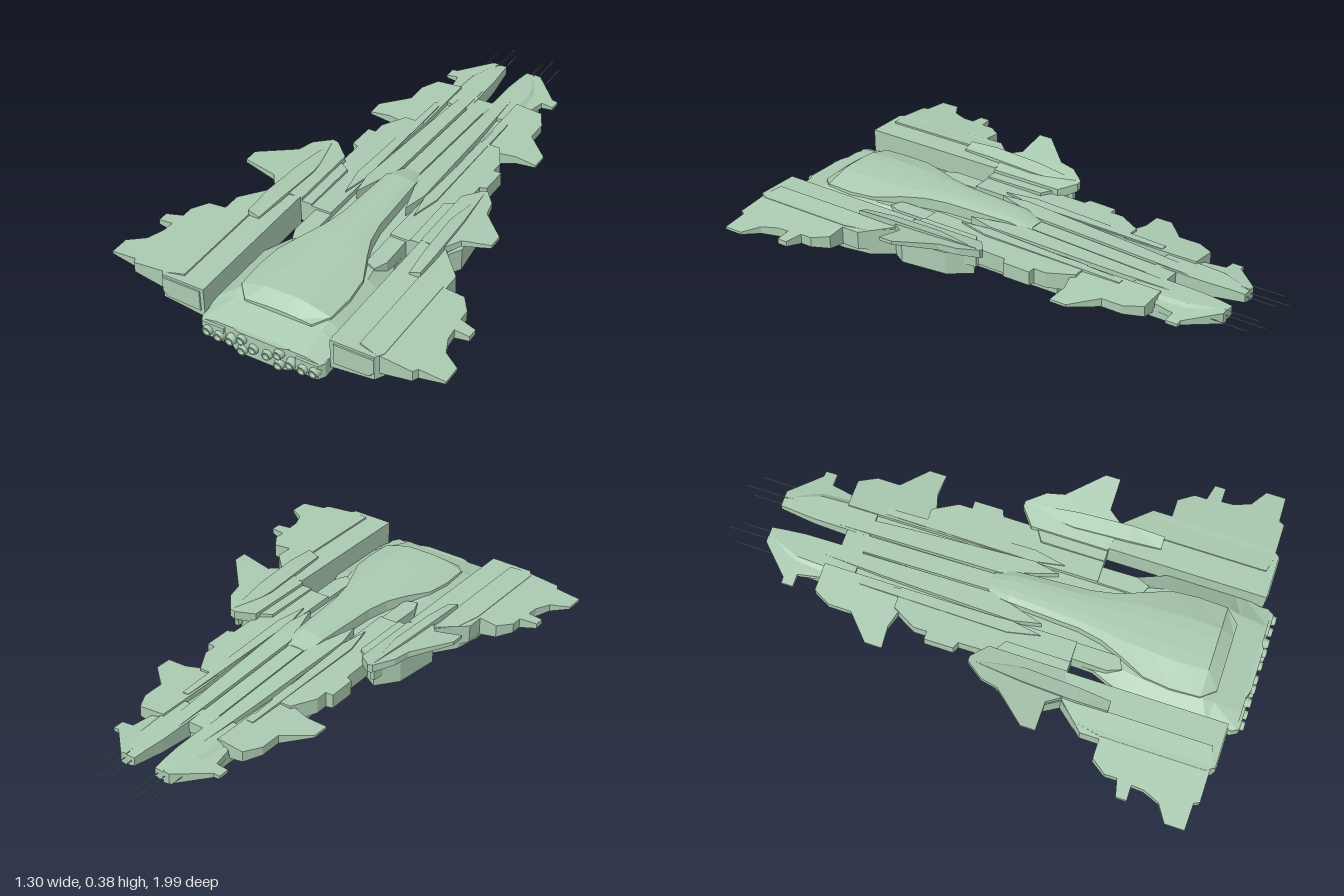
import * as THREE from 'three';

const hull = new THREE.MeshStandardMaterial({ color: 0xaacab1, flatShading: true });
hull.name = 'pale green hull';

// Reverse the corner order of a non-indexed geometry
function flip(geo) {
  const p = geo.attributes.position, a = new THREE.Vector3(), b = new THREE.Vector3();
  for (let i = 0; i < p.count; i += 3) {
    a.fromBufferAttribute(p, i); b.fromBufferAttribute(p, i + 1);
    p.setXYZ(i, b.x, b.y, b.z); p.setXYZ(i + 1, a.x, a.y, a.z);
  }
}

// Closed solid through rings of [x, y, z] points, wound outward
function loft(rings) {
  const n = rings[0].length, out = [];
  const tri = (a, b, c) => out.push(...a, ...b, ...c);
  for (let i = 0; i + 1 < rings.length; i++)
    for (let j = 0; j < n; j++) {
      const k = (j + 1) % n, r = rings[i], s = rings[i + 1];
      tri(r[j], s[j], s[k]); tri(r[j], s[k], r[k]);
    }
  const last = rings[rings.length - 1];
  for (let j = 1; j + 1 < n; j++) {
    tri(rings[0][0], rings[0][j], rings[0][j + 1]);
    tri(last[0], last[j + 1], last[j]);
  }
  const geo = new THREE.BufferGeometry();
  geo.setAttribute('position', new THREE.Float32BufferAttribute(out, 3));
  let vol = 0;
  const v = [0, 1, 2].map(() => new THREE.Vector3());
  for (let i = 0; i < out.length; i += 9) {
    v.forEach((q, k) => q.fromArray(out, i + k * 3));
    vol += v[0].dot(v[1].clone().cross(v[2]));
  }
  if (vol < 0) flip(geo);
  geo.computeVertexNormals();
  return geo;
}

// Plate from an [x, z] outline between two planes, each given as a number or a rule of x and z
function plate(pts, bottom, top) {
  const shape = new THREE.Shape(pts.map(([x, z]) => new THREE.Vector2(x, -z)));
  const geo = new THREE.ExtrudeGeometry(shape, { depth: 1, bevelEnabled: false }).rotateX(-Math.PI / 2);
  const p = geo.attributes.position;
  const at = (f, x, z) => (typeof f === 'number' ? f : f(x, z));
  for (let i = 0; i < p.count; i++) {
    const x = p.getX(i), z = p.getZ(i);
    p.setY(i, at(p.getY(i) > 0.5 ? top : bottom, x, z));
  }
  geo.computeVertexNormals();
  return geo;
}

const box = (x0, x1, y0, y1, z0, z1) =>
  new THREE.BoxGeometry(x1 - x0, y1 - y0, z1 - z0).translate((x0 + x1) / 2, (y0 + y1) / 2, (z0 + z1) / 2);
const slope = (x0, y0, x1, y1) => (x) => y0 + ((x - x0) / (x1 - x0)) * (y1 - y0);

export function createModel() {
  const model = new THREE.Group();
  model.name = 'spaceship';
  const add = (name, geo) => {
    const mesh = new THREE.Mesh(geo, hull);
    mesh.name = name;
    model.add(mesh);
  };
  const pair = (name, geo) => {
    add(name + 'Left', geo);
    const other = (geo.index ? geo.toNonIndexed() : geo.clone()).scale(-1, 1, 1);
    flip(other);
    other.computeVertexNormals();
    add(name + 'Right', other);
  };
  const sym = (half, z) => [...half.map(([x, y]) => [x, y, z]), ...half.slice().reverse().map(([x, y]) => [-x, y, z])];

  // Main hull: z, top width and height, side width, upper and lower side height, keel width and height
  add('mainHull', loft([
    [0.965, 0.17, 0.255, 0.23, 0.243, 0.207, 0.09, 0.168],
    [0.86, 0.17, 0.285, 0.25, 0.25, 0.215, 0.11, 0.157],
    [0.82, 0.175, 0.298, 0.25, 0.25, 0.215, 0.11, 0.157],
    [0.58, 0.175, 0.298, 0.25, 0.25, 0.215, 0.11, 0.16],
    [0.42, 0.14, 0.285, 0.185, 0.25, 0.215, 0.1, 0.165],
    [0, 0.14, 0.285, 0.17, 0.25, 0.21, 0.09, 0.175],
    [-0.3, 0.13, 0.275, 0.165, 0.245, 0.215, 0.07, 0.187],
    [-0.58, 0.12, 0.272, 0.16, 0.25, 0.23, 0.05, 0.212],
  ].map(([z, a, yt, b, ym, yl, c, yb]) => sym([[a, yt], [b, ym], [b, yl], [c, yb]], z))));

  // Smooth raised back that narrows to a neck: z, flat width, top height, edge width, edge height
  add('upperDeck', loft([
    [0.86, 0.08, 0.3, 0.13, 0.293], [0.81, 0.08, 0.335, 0.175, 0.306], [0.7, 0.085, 0.337, 0.18, 0.306],
    [0.6, 0.08, 0.337, 0.17, 0.31], [0.5, 0.075, 0.337, 0.125, 0.322], [0.42, 0.06, 0.337, 0.093, 0.326],
    [0.33, 0.05, 0.336, 0.075, 0.326], [0.2, 0.045, 0.335, 0.068, 0.324], [0.06, 0.04, 0.333, 0.06, 0.322],
    [-0.02, 0.03, 0.31, 0.045, 0.3],
  ].map(([z, w, y, e, ye]) => sym([[w * 0.45, y], [w, y - 0.003], [e, ye], [e * 1.03, 0.25]], z))));
  add('spine', plate([[-0.032, -0.585], [0.032, -0.585], [0.032, 0.02], [-0.032, 0.02]], 0.24, (x, z) => 0.308 + z * 0.045));

  // Twin prow prongs
  pair('prong', loft([
    [-0.5, 0.03, 0.165, 0.207, 0.285], [-0.72, 0.033, 0.155, 0.225, 0.282],
    [-0.8, 0.04, 0.125, 0.233, 0.28], [-0.85, 0.045, 0.1, 0.238, 0.276],
  ].map(([z, a, b, y0, y1]) => {
    const m = (y0 + y1) / 2;
    return [[a, y0 + 0.006, z], [a, y1, z], [b - 0.03, y1, z], [b, m + 0.008, z], [b, m - 0.008, z], [b - 0.035, y0, z]];
  })));
  pair('prowFin', plate([[0.08, -0.85], [0.105, -0.85], [0.21, -0.745], [0.232, -0.745], [0.232, -0.7], [0.185, -0.7], [0.17, -0.62], [0.1, -0.6]],
    slope(0.1, 0.235, 0.23, 0.25), slope(0.1, 0.277, 0.23, 0.262)));
  pair('prowLowerFin', box(0.1, 0.17, 0.215, 0.25, -0.71, -0.5));
  pair('longRail', plate([[0.04, -0.72], [0.08, -0.72], [0.1, -0.4], [0.12, 0.1], [0.1, 0.2], [0.04, 0]], 0.25, (x, z) => 0.312 + z * 0.045));
  pair('gunRail', plate([[0.13, -0.47], [0.155, -0.47], [0.165, 0.09], [0.14, 0.21], [0.12, 0.1]], 0.24, (x, z) => 0.307 + z * 0.03));

  // Forward and middle side fins
  pair('forwardFin', plate([[0.12, -0.615], [0.225, -0.615], [0.26, -0.55], [0.26, -0.465], [0.352, -0.38], [0.352, -0.315], [0.27, -0.32], [0.2, -0.3], [0.12, -0.3]],
    slope(0.12, 0.225, 0.35, 0.262), slope(0.12, 0.292, 0.35, 0.272)));
  pair('middleFin', plate([[0.12, -0.32], [0.2, -0.32], [0.25, -0.23], [0.25, -0.18], [0.28, -0.18], [0.28, -0.07], [0.255, -0.06], [0.25, 0.34], [0.12, 0.34]],
    slope(0.12, 0.215, 0.28, 0.245), (x, z) => 0.302 + z * 0.02));
  pair('sideBlock', box(0.14, 0.21, 0.2, 0.24, -0.25, 0.3));
  pair('hullBlock', plate([[0.12, 0.2], [0.18, 0.2], [0.185, 0.47], [0.165, 0.52], [0.12, 0.5]], 0.22, 0.3));

  // Upswept fins
  pair('sweptFin', plate([[0.24, 0.05], [0.3, 0], [0.32, 0], [0.37, 0.065], [0.385, 0.13], [0.495, 0.25], [0.495, 0.305], [0.38, 0.305], [0.34, 0.36], [0.24, 0.34]],
    slope(0.24, 0.29, 0.495, 0.37), slope(0.24, 0.328, 0.495, 0.383)));
  pair('sweptFinRoot', loft([[0.02, 0.3, 0.315, 0.345], [0.2, 0.28, 0.335, 0.358], [0.4, 0.29, 0.345, 0.362], [0.52, 0.3, 0.343, 0.356]]
    .map(([z, a, b, y]) => [[a, 0.27, z], [b, 0.27, z], [b, y, z], [a, y - 0.016, z]])));
  pair('sweptFinBase', plate([[0.2, 0.1], [0.3, 0.04], [0.36, 0.12], [0.38, 0.3], [0.32, 0.4], [0.25, 0.34], [0.2, 0.34]], 0.23, 0.316));

  // Rear wing pods
  pair('wingPod', plate([[0.245, 0.34], [0.34, 0.34], [0.41, 0.42], [0.43, 0.52], [0.43, 0.9], [0.41, 0.93], [0.245, 0.93]],
    slope(0.245, 0.218, 0.43, 0.24), 0.333));
  pair('podExhaust', loft([[0.92, 0.255, 0.415, 0.237, 0.327], [0.934, 0.26, 0.41, 0.242, 0.322]]
    .map(([z, a, b, y0, y1]) => [[a, y0, z], [b - 0.02, y0 + 0.005, z], [b, y0 + 0.025, z], [b, y1, z], [a, y1, z]])));
  pair('rearWing', plate([[0.34, 0.345], [0.44, 0.45], [0.44, 0.52], [0.51, 0.52], [0.55, 0.575], [0.55, 0.62], [0.613, 0.635], [0.613, 0.675], [0.557, 0.675],
    [0.56, 0.72], [0.585, 0.78], [0.648, 0.82], [0.648, 0.893], [0.55, 0.895], [0.54, 0.915], [0.4, 0.915], [0.34, 0.9]],
    slope(0.4, 0.255, 0.65, 0.3), slope(0.4, 0.334, 0.65, 0.309)));
  pair('wingUnderplate', plate([[0.4, 0.55], [0.45, 0.56], [0.47, 0.62], [0.47, 0.88], [0.4, 0.9]],
    slope(0.4, 0.237, 0.47, 0.258), 0.3));
  pair('podKeel', plate([[0.28, 0.45], [0.36, 0.47], [0.41, 0.58], [0.41, 0.84], [0.29, 0.86], [0.27, 0.6]], slope(0.25, 0.212, 0.41, 0.23), 0.26));

  // Stern housing and engines
  pair('sternBlock', plate([[0.14, 0.88], [0.24, 0.88], [0.24, 0.95], [0.225, 0.975], [0.14, 0.975]], 0.188, 0.244));
  add('sternCentre', plate([[-0.11, 0.9], [0.11, 0.9], [0.11, 0.965], [0.08, 0.975], [-0.08, 0.975], [-0.11, 0.965]], 0.167, 0.257));
  for (const [x, y] of [[0.027, 0.212], [0.0715, 0.234], [0.0715, 0.19], [0.117, 0.212], [0.163, 0.21], [0.207, 0.216]])
    for (const s of [-1, 1]) {
      const profile = [[0.013, -0.06], [0.019, -0.05], [0.02, 0], [0.016, 0.02], [0.012, 0.02], [0.009, 0.008], [0, 0.008]]
        .map(([r, h]) => new THREE.Vector2(r, h));
      add('engine', new THREE.LatheGeometry(profile, 14).rotateX(Math.PI / 2).translate(s * x + 0.0065, y, 0.97));
    }

  // Belly plates and sensor tower
  const hex = (w, z0, z1) => [[-w * 0.6, z0], [w * 0.6, z0], [w, z0 + 0.06], [w, z1 - 0.06], [w * 0.6, z1], [-w * 0.6, z1], [-w, z1 - 0.06], [-w, z0 + 0.06]];
  add('bellyPlate', plate(hex(0.11, 0.53, 0.86), 0.145, 0.18));
  add('bellyStep', plate(hex(0.085, 0.61, 0.82), 0.126, 0.16));
  pair('bellyStrake', plate([[0.03, -0.3], [0.06, -0.25], [0.13, 0.3], [0.14, 0.5], [0.09, 0.5], [0.06, 0.1]], (x, z) => 0.176 - z * 0.02, 0.22));
  pair('lowerFlank', plate([[0.13, 0.48], [0.18, 0.55], [0.2, 0.86], [0.13, 0.9]], slope(0.13, 0.158, 0.2, 0.182), 0.22));
  add('towerCollar', box(-0.04, 0.04, 0.11, 0.13, 0.65, 0.79));
  add('tower', box(-0.015, 0.015, 0.075, 0.12, 0.7, 0.75));
  add('sensorPlate', box(-0.055, 0.055, 0.073, 0.084, 0.68, 0.77));
  add('lowerAntenna', box(-0.026, -0.023, 0, 0.075, 0.737, 0.74));
  add('lowerAntenna', box(0.036, 0.04, 0.02, 0.075, 0.718, 0.722));

  // Prow antennas
  for (const [x, z, back] of [[0.087, -1, -0.84], [0.058, -0.96, -0.84], [0.135, -0.955, -0.76]])
    pair('prowAntenna', new THREE.CylinderGeometry(0.0015, 0.0015, back - z, 6).rotateX(Math.PI / 2).translate(x, 0.26, (z + back) / 2));
  return model;
}
